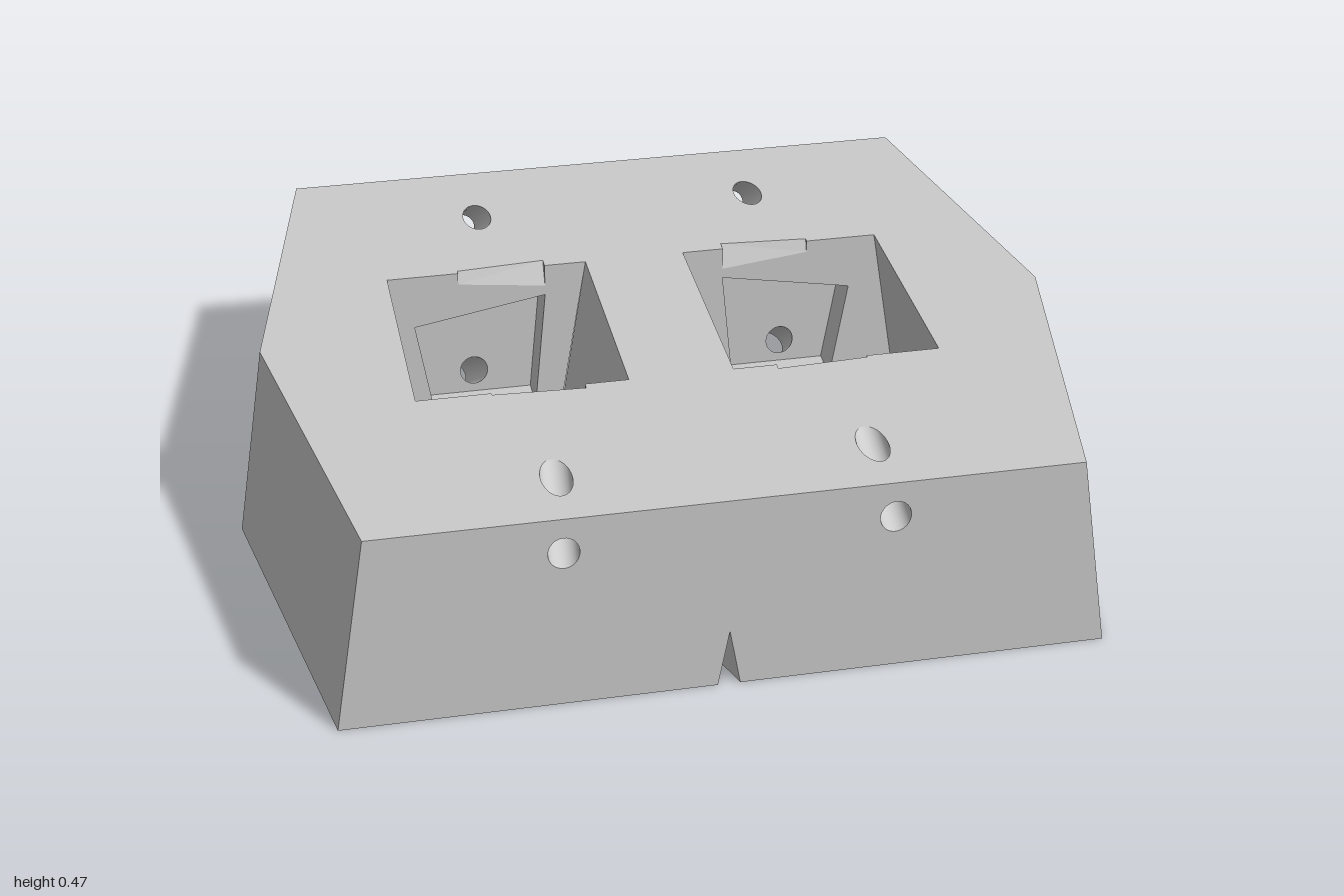
import * as THREE from 'three';

const H = 0.475, D = 0.81, WZ = 0.283;      // height, half depth, half window depth
const LEAN = 0.078;                          // sideways lean of sides and windows
const R = 0.034;                             // cord channel radius
const mat = new THREE.MeshStandardMaterial({ color: 0xcccccc, side: THREE.DoubleSide });

// The two ends differ slightly in where their cord channels come out
const ENDS = [
  { s: 1, name: 'front', topZ: 0.65, len: 0.072, faceY: 0.39, rimIn: 0.3, rimOut: 0.29, lowZ: 0.64 },
  { s: -1, name: 'back', topZ: 0.565, len: 0.065, faceY: 0.32, rimIn: 0.31, rimOut: 0.295, lowZ: 0.606 },
];
// Pocket opening in the window end walls (x, y)
const POCKET = [[0.22, H - 0.08], [0.54, H - 0.137], [0.5, 0.09], [0.25, 0.09]];

const pts = (list) => list.map(([x, y]) => new THREE.Vector2(x, y));

function oval(x, y, rx, ry) {
  const p = new THREE.Path();
  p.absellipse(x, y, rx, ry, 0, Math.PI * 2);
  return p;
}

// Flat panel with holes, placed in space by a mapping rule
function panel(name, outline, holes, map) {
  const shape = new THREE.Shape(pts(outline));
  shape.holes = holes;
  const g = new THREE.ShapeGeometry(shape, 16);
  const p = g.attributes.position;
  for (let i = 0; i < p.count; i++) p.setXYZ(i, ...map(p.getX(i), p.getY(i)));
  g.computeVertexNormals();
  return named(name, g);
}

// Ruled surface between two rows of points
function loft(name, a, b, smooth = false) {
  const g = new THREE.BufferGeometry();
  const index = [], n = a.length;
  for (let i = 0; i < n - 1; i++) index.push(i, i + 1, n + i + 1, i, n + i + 1, n + i);
  g.setAttribute('position', new THREE.Float32BufferAttribute([...a, ...b].flat(), 3));
  g.setIndex(index);
  const out = smooth ? g : g.toNonIndexed();
  out.computeVertexNormals();
  return named(name, out);
}

function named(name, g) {
  const m = new THREE.Mesh(g, mat);
  m.name = name;
  return m;
}

const ring = (f) => Array.from({ length: 33 }, (_, i) => {
  const t = (i / 32) * Math.PI * 2;
  return f(Math.cos(t), Math.sin(t));
});

export function createModel() {
  const group = new THREE.Group();
  group.name = 'windowedBlock';
  const both = [1, -1];

  // Top: tapered outline, two windows with nicked rims, four channel mouths
  const topHoles = [], bottomHoles = [];
  for (const m of both) {
    const [f, b] = ENDS;
    topHoles.push(new THREE.Path(pts([
      [0.12, -WZ], [0.22, -WZ], [0.22, -f.rimIn], [0.43, -f.rimOut], [0.43, -WZ], [0.6, -WZ],
      [0.6, WZ], [0.43, WZ], [0.43, b.rimOut], [0.22, b.rimIn], [0.22, WZ], [0.12, WZ],
    ].map(([x, v]) => [m * x, v]))));
    bottomHoles.push(new THREE.Path(pts(
      [[0.2, -WZ], [0.68, -WZ], [0.68, WZ], [0.2, WZ]].map(([x, v]) => [m * x, v]))));
    for (const e of ENDS) {
      topHoles.push(oval(m * 0.345, -e.s * e.topZ, R, e.len));
      bottomHoles.push(oval(m * 0.42, e.s * e.lowZ, R, 0.066));
    }
  }
  group.add(panel('topFace',
    [[0.922, 0], [0.773, D], [-0.773, D], [-0.922, 0], [-0.773, -D], [0.773, -D]],
    topHoles, (x, v) => [x, H, -v]));

  // Underside with a small nick in the middle of each end
  group.add(panel('bottomFace',
    [[1, 0], [0.85, D], [0.025, D], [0, 0.74], [-0.025, D], [-0.85, D],
      [-1, 0], [-0.85, -D], [-0.025, -D], [0, -0.74], [0.025, -D], [0.85, -D]],
    bottomHoles, (x, v) => [x, 0, v]));

  // End faces and their nicks
  for (const e of ENDS) {
    const s = e.s;
    group.add(panel(e.name + 'Face',
      [[-0.85, 0], [-0.025, 0], [0, 0.14], [0.025, 0], [0.85, 0], [0.773, H], [-0.773, H]],
      both.map((m) => oval(m * 0.357, e.faceY, R, 0.038)), (x, y) => [s * x, y, s * D]));
    const apex = [0, 0, s * 0.74];
    group.add(loft(e.name + 'Nick',
      [[-0.025, 0, s * D], [0, 0.14, s * D], [0.025, 0, s * D]], [apex, apex, apex]));
  }

  for (const m of both) {
    const side = new THREE.Group();
    side.name = m > 0 ? 'leftHalf' : 'rightHalf';
    group.add(side);
    const at = (x, y, z) => [m * x, y, z];

    // Leaning outer side in two facets
    side.add(loft('outerSide',
      [at(0.85, 0, D), at(1, 0, 0), at(0.85, 0, -D)],
      [at(0.773, H, D), at(0.922, H, 0), at(0.773, H, -D)]));

    // Leaning window walls
    for (const x of [0.12, 0.6]) {
      side.add(loft('windowSideWall',
        [at(x + LEAN, 0, WZ), at(x + LEAN, 0, -WZ)], [at(x, H, WZ), at(x, H, -WZ)]));
    }

    for (const e of ENDS) {
      const s = e.s, wz = s * WZ, pz = s * (WZ + 0.09);
      // Window end wall with pocket opening and rim nick
      side.add(panel('windowEndWall',
        [[0.2, 0], [0.68, 0], [0.6, H], [0.43, H], [0.43, H - 0.03], [0.22, H - 0.055], [0.22, H], [0.12, H]],
        [new THREE.Path(pts(POCKET))], (x, y) => at(x, y, wz)));
      side.add(loft('rimNick',
        [at(0.22, H, wz), at(0.22, H, s * e.rimIn), at(0.43, H, s * e.rimOut), at(0.43, H, wz)],
        [at(0.22, H - 0.055, wz), at(0.22, H - 0.055, wz), at(0.43, H - 0.03, wz), at(0.43, H - 0.03, wz)]));

      // Pocket sides and back
      const loop = [...POCKET, POCKET[0]];
      side.add(loft('pocketSides',
        loop.map(([x, y]) => at(x, y, wz)), loop.map(([x, y]) => at(x, y, pz))));
      side.add(panel('pocketBack', POCKET, [oval(0.39, 0.15, R, 0.038)], (x, y) => at(x, y, pz)));

      // Upper cord channel from top to end face, lower one from underside to pocket
      side.add(loft('upperChannel',
        ring((c, k) => at(0.345 + R * c, H, s * (e.topZ + e.len * k))),
        ring((c, k) => at(0.357 + R * c, e.faceY + 0.038 * k, s * D)), true));
      side.add(loft('lowerChannel',
        ring((c, k) => at(0.42 + R * c, 0, s * (e.lowZ + 0.066 * k))),
        ring((c, k) => at(0.39 + R * c, 0.15 + 0.038 * k, pz)), true));
    }
  }
  return group;
}
